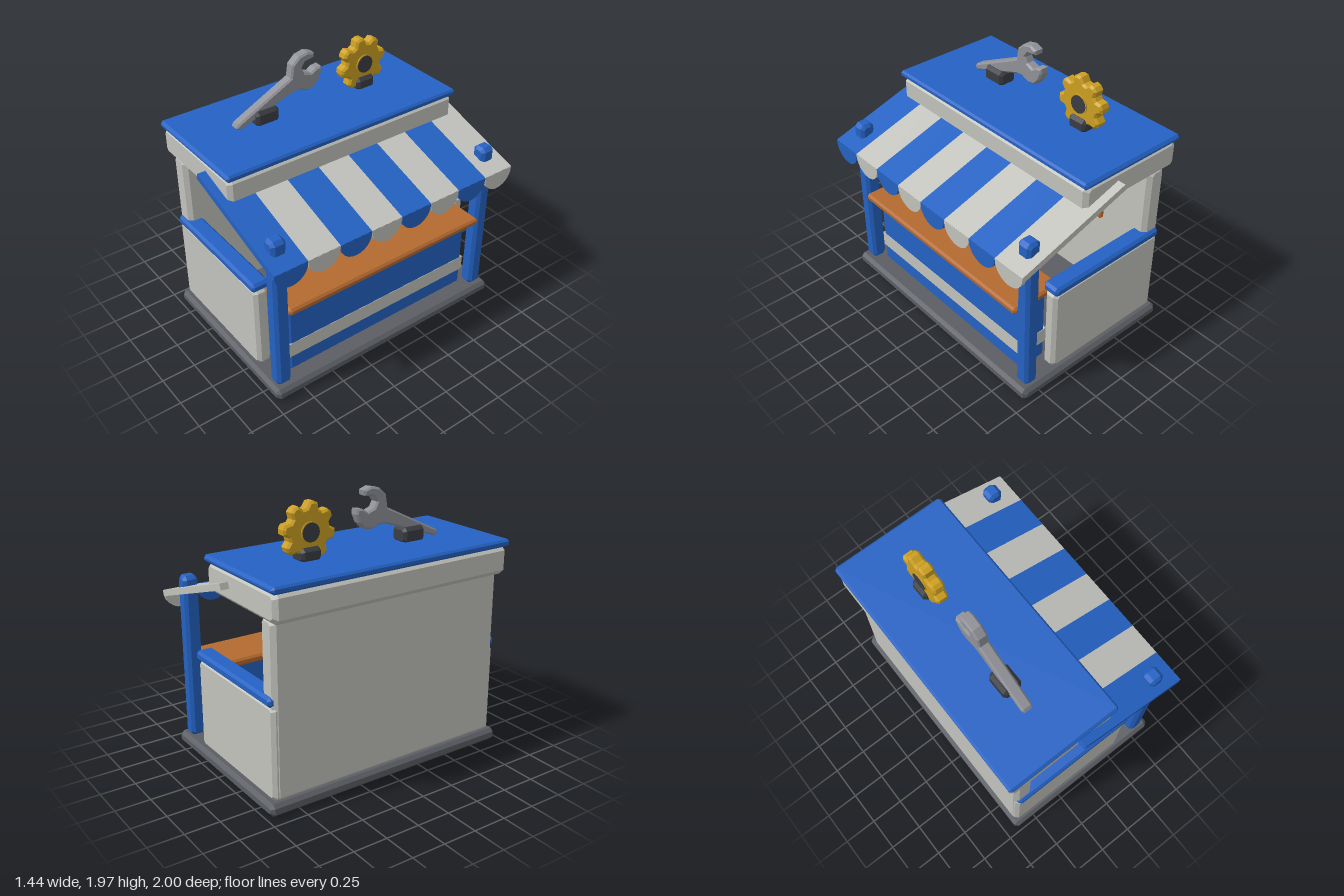
import * as THREE from 'three';

const mat = (name, color) => {
  const m = new THREE.MeshStandardMaterial({ color });
  m.name = name;
  return m;
};

export function createModel() {
  const blue = mat('blue paint', 0x2462c4);
  const pale = mat('pale grey', 0xc3c4be);
  const stone = mat('base grey', 0x5b5e64);
  const dark = mat('charcoal', 0x3a3d42);
  const wood = mat('counter wood', 0xb4692f);
  const orange = mat('orange board', 0xca671e);
  const yellow = mat('yellow', 0xcda021);
  const steel = mat('steel', 0x909298);

  const model = new THREE.Group();
  model.name = 'toolStall';

  const add = (name, geometry, material, x = 0, y = 0, z = 0, parent = model) => {
    const mesh = new THREE.Mesh(geometry, material);
    mesh.name = name;
    mesh.position.set(x, y, z);
    parent.add(mesh);
    return mesh;
  };

  // Box with all edges chamfered, given by its min and max along each axis
  const block = (name, material, [x0, x1], [y0, y1], [z0, z1], c = 0.02, parent = model) => {
    const a = (x1 - x0) / 2 - c, b = (y1 - y0) / 2 - c, k = Math.min(c * 0.6, a * 0.5, b * 0.5);
    const s = new THREE.Shape([
      [a - k, -b], [a, k - b], [a, b - k], [a - k, b],
      [k - a, b], [-a, b - k], [-a, k - b], [k - a, -b],
    ].map(([x, y]) => new THREE.Vector2(x, y)));
    const depth = z1 - z0 - 2 * c;
    const g = new THREE.ExtrudeGeometry(s, {
      depth, bevelEnabled: true, bevelThickness: c, bevelSize: c, bevelSegments: 1,
    });
    g.translate(0, 0, -depth / 2);
    return add(name, g, material, (x0 + x1) / 2, (y0 + y1) / 2, (z0 + z1) / 2, parent);
  };

  // Outline drawn in the (-z, y) plane, extruded to a total width along x
  const sidePlate = (points, width, bevel) => {
    const shape = new THREE.Shape(points.map(([u, v]) => new THREE.Vector2(u, v)));
    const depth = width - 2 * bevel;
    const g = new THREE.ExtrudeGeometry(shape, {
      depth, bevelEnabled: bevel > 0, bevelThickness: bevel, bevelSize: bevel,
      bevelOffset: -bevel, bevelSegments: 1, curveSegments: 10,
    });
    g.translate(0, 0, -depth / 2);
    return g.rotateY(Math.PI / 2);
  };

  // Toothed wheel outline
  const gearPoints = (outer, root, teeth, phase) => {
    const pts = [];
    for (let i = 0; i < teeth; i++) {
      const mid = phase + (i / teeth) * Math.PI * 2, step = Math.PI / teeth;
      for (const [t, r] of [[-0.78, root], [-0.42, outer * 0.97], [0, outer], [0.42, outer * 0.97], [0.78, root]]) {
        pts.push([Math.cos(mid + t * step) * r, Math.sin(mid + t * step) * r]);
      }
    }
    return pts;
  };

  // Base, back wall and roof
  block('base', stone, [-0.67, 0.65], [0, 0.09], [-0.97, 0.97], 0.025);
  block('backWall', pale, [-0.645, -0.495], [0.08, 1.33], [-0.92, 0.92], 0.03);
  block('roofFascia', pale, [-0.71, 0.14], [1.305, 1.515], [-0.94, 0.94], 0.03);
  block('roofTop', blue, [-0.72, 0.155], [1.505, 1.555], [-0.955, 0.955], 0.018);

  // Low side walls with caps, and front posts
  for (const s of [-1, 1]) {
    const span = (a, b) => (s > 0 ? [a, b] : [-b, -a]);
    block('sideWall', pale, [-0.64, 0.355], [0.085, 0.755], span(0.825, 0.93), 0.025);
    block('sideWallCap', blue, [-0.625, 0.36], [0.745, 0.815], span(0.815, 0.945), 0.018);
    block('post', blue, [0.495, 0.605], [0.085, 1.305], span(0.825, 0.935), 0.022);
  }

  // Counter
  block('counterPanel', blue, [0.3, 0.525], [0.085, 0.68], [-0.79, 0.79], 0.02);
  add('counterStripe', new THREE.BoxGeometry(0.231, 0.117, 1.586), pale, 0.4125, 0.279, 0);
  block('counterTop', wood, [0.22, 0.62], [0.675, 0.73], [-0.83, 0.83], 0.015);

  // Striped awning with a scalloped valance
  const awning = new THREE.Group();
  awning.name = 'awning';
  model.add(awning);
  const slope = Math.atan2(0.275, 0.865), length = 0.908, thick = 0.045, width = 0.25;
  for (let i = 0; i < 8; i++) {
    const z = -0.875 + i * width, material = i % 2 ? blue : pale;
    const strip = add('awningStripe', new THREE.BoxGeometry(length, thick, width), material,
      0.2825 - Math.sin(slope) * thick / 2, 1.3065 - Math.cos(slope) * thick / 2, z, awning);
    strip.rotation.z = -slope;
    const pts = [[0.125, 0.01], [-0.125, 0.01]];
    for (let k = 0; k <= 12; k++) {
      const a = Math.PI + (k / 12) * Math.PI;
      pts.push([Math.cos(a) * 0.125, Math.sin(a) * 0.122]);
    }
    add('valanceScallop', sidePlate(pts, 0.032, 0), material, 0.699, 1.155, z, awning);
  }

  // Hanging lamp
  const lamp = new THREE.Group();
  lamp.name = 'lamp';
  lamp.position.set(0.45, 0, 0);
  model.add(lamp);
  add('lampCord', new THREE.CylinderGeometry(0.008, 0.008, 0.2, 8), dark, 0, 1.14, 0, lamp);
  add('lampShade', new THREE.CylinderGeometry(0.035, 0.13, 0.1, 20), dark, 0, 1.02, 0, lamp);
  add('lampBulb', new THREE.SphereGeometry(0.064, 20, 14), yellow, 0, 0.953, 0, lamp);

  // Tool board with hanging tools
  block('toolBoard', orange, [-0.505, -0.462], [0.735, 1.215], [-0.54, 0.54], 0.012);
  block('hammerHandle', wood, [-0.46, -0.42], [0.83, 1.1], [0.345, 0.385], 0.008);
  block('hammerHead', dark, [-0.465, -0.41], [1.08, 1.145], [0.28, 0.45], 0.012);
  add('screwdriverShaft', new THREE.CylinderGeometry(0.006, 0.006, 0.25, 8), dark, -0.445, 0.945, 0.09);
  add('screwdriverGrip', new THREE.CylinderGeometry(0.022, 0.022, 0.11, 8), yellow, -0.44, 1.115, 0.09);
  block('smallSpannerShaft', steel, [-0.46, -0.435], [0.81, 1.09], [-0.19, -0.17], 0.005);
  block('smallSpannerHead', steel, [-0.46, -0.43], [1.07, 1.14], [-0.215, -0.145], 0.01);
  for (const [y, z, r] of [[0.975, -0.425, 0.052], [1.11, -0.49, 0.04]]) {
    const disc = add('boardDisc', new THREE.CylinderGeometry(r, r, 0.03, 16), yellow, -0.45, y, z);
    disc.rotation.z = Math.PI / 2;
  }

  // Roof sign: wrench on its block
  block('wrenchMount', dark, [-0.385, -0.242], [1.54, 1.655], [0.29, 0.47], 0.02);
  const wrench = [
    [-0.615, 1.575], [-0.6, 1.6], [-0.17, 1.81], [-0.155, 1.9], [-0.1, 1.95], [-0.03, 1.965],
    [0.025, 1.945], [0.02, 1.91], [-0.05, 1.9], [-0.08, 1.86], [-0.06, 1.82], [-0.005, 1.8],
    [0.035, 1.825], [0.08, 1.83], [0.083, 1.79], [0.06, 1.735], [0.02, 1.69], [-0.04, 1.68],
    [-0.11, 1.705], [-0.16, 1.7], [-0.585, 1.555],
  ].reverse();
  add('wrench', sidePlate(wrench, 0.08, 0.012), steel, -0.312, 0, 0);

  // Roof sign: gear on its block
  block('gearMount', dark, [-0.385, -0.242], [1.54, 1.64], [-0.53, -0.38], 0.02);
  add('gear', sidePlate(gearPoints(0.198, 0.155, 8, 0.175), 0.088, 0.015), yellow, -0.313, 1.735, -0.452);
  for (const [name, r, w, m] of [['gearBoss', 0.072, 0.102, yellow], ['gearHub', 0.064, 0.11, dark]]) {
    add(name, new THREE.CylinderGeometry(r, r, w, 18), m, -0.313, 1.735, -0.452).rotation.z = Math.PI / 2;
  }

  return model;
}
